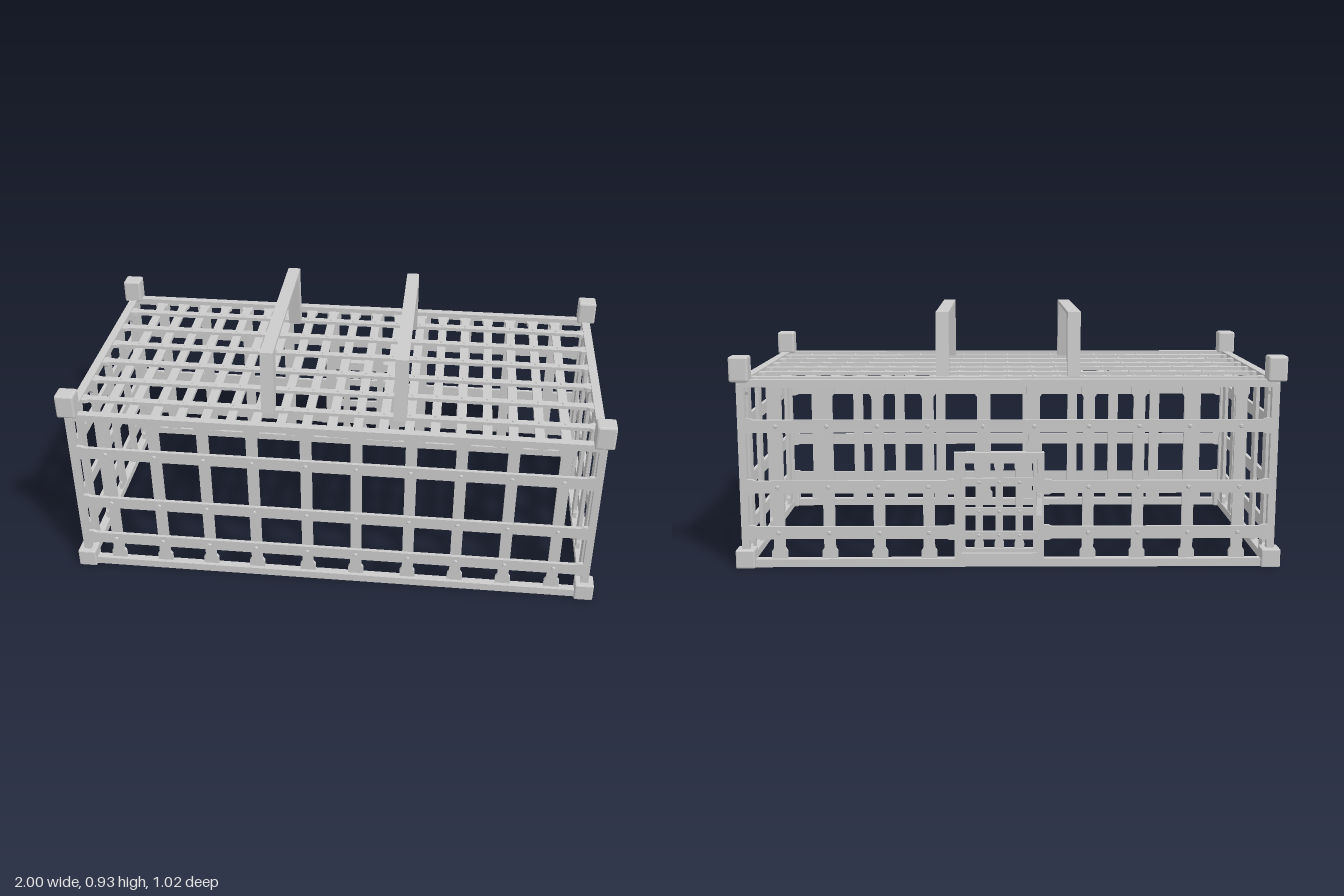
import * as THREE from 'three';
import { RoundedBoxGeometry } from 'three/addons/geometries/RoundedBoxGeometry.js';

const material = new THREE.MeshStandardMaterial({ color: 0xcccccc, flatShading: true });

function add(parent, name, geometry, x = 0, y = 0, z = 0) {
  const mesh = new THREE.Mesh(geometry, material);
  mesh.name = name;
  mesh.position.set(x, y, z);
  parent.add(mesh);
  return mesh;
}

const box = (parent, name, w, h, d, x, y, z) =>
  add(parent, name, new THREE.BoxGeometry(w, h, d), x, y, z);

function extrude(points, depth, hole) {
  const shape = new THREE.Shape(points.map(([x, y]) => new THREE.Vector2(x, y)));
  if (hole) shape.holes.push(new THREE.Path(hole.map(([x, y]) => new THREE.Vector2(x, y))));
  return new THREE.ExtrudeGeometry(shape, { depth, bevelEnabled: false }).translate(0, 0, -depth / 2);
}

const rect = (x0, y0, x1, y1) => [[x0, y0], [x1, y0], [x1, y1], [x0, y1]];

// Flat bar from a to b with widened feet; runs along y, or along x when horizontal
function flatBar(parent, name, a, b, at, z, { width, flare, depth = 0.014, foot = 0.028 }, horizontal) {
  const w = width / 2, f = flare / 2, t = foot + 0.012;
  const geometry = extrude([
    [-f, a], [f, a], [f, a + foot], [w, a + t], [w, b - t], [f, b - foot],
    [f, b], [-f, b], [-f, b - foot], [-w, b - t], [-w, a + t], [-f, a + foot],
  ], depth);
  if (horizontal) geometry.rotateZ(-Math.PI / 2);
  add(parent, name, geometry, horizontal ? 0 : at, horizontal ? at : 0, z);
}

// Lattice in its own plane, outside towards +z; an optional opening cuts the bars
function lattice(name, { us, vs, halfU, v0, v1, upright, cross, bolt, opening }) {
  const panel = new THREE.Group();
  panel.name = name;
  const blocked = (u, v) => opening &&
    u > opening.u0 && u < opening.u1 && v > opening.v0 && v < opening.v1;
  for (const u of us) {
    const cut = opening && u > opening.u0 && u < opening.u1;
    flatBar(panel, 'uprightBar', cut ? opening.v1 : v0, v1, u, -0.006, upright);
  }
  for (const v of vs) {
    const cut = opening && v > opening.v0 && v < opening.v1;
    const spans = cut ? [[-halfU, opening.u0], [opening.u1, halfU]] : [[-halfU, halfU]];
    for (const [a, b] of spans) flatBar(panel, 'crossBar', a, b, v, 0.006, cross, true);
    for (const u of us) {
      if (blocked(u, v)) continue;
      const head = new THREE.CylinderGeometry(bolt * 0.6, bolt, 0.006, 6).rotateX(Math.PI / 2);
      add(panel, 'bolt', head, u, v, 0.015);
    }
  }
  return panel;
}

function createDoor() {
  const door = new THREE.Group();
  door.name = 'door';
  const x0 = -0.13, x1 = 0.198, y0 = 0.03, y1 = 0.43, mid = (x0 + x1) / 2;
  const frame = (name, inset, width, depth, z) => {
    const i = inset, j = inset + width;
    add(door, name, extrude(rect(x0 + i, y0 + i, x1 - i, y1 - i), depth,
      rect(x0 + j, y0 + j, x1 - j, y1 - j)), 0, 0, z);
  };
  frame('doorFrame', 0, 0.024, 0.034, -0.469);
  frame('doorInnerFrame', 0.024, 0.016, 0.02, -0.467);
  for (const dx of [-0.074, 0, 0.074]) {
    flatBar(door, 'doorUpright', y0 + 0.03, y1 - 0.03, mid + dx, -0.464, { width: 0.027, flare: 0.036 });
  }
  for (const y of [0.12, 0.21, 0.32]) {
    box(door, 'doorCrossBar', x1 - x0 - 0.06, 0.03, 0.012, mid, y, -0.473);
    for (const dx of [-0.074, 0, 0.074]) {
      add(door, 'doorBolt', new THREE.CylinderGeometry(0.004, 0.007, 0.006, 6).rotateX(-Math.PI / 2),
        mid + dx, y, -0.481);
    }
  }
  // Latch: plate, pivot and hanging handle
  box(door, 'latchPlate', 0.022, 0.08, 0.008, -0.112, 0.245, -0.484);
  add(door, 'latchPivot', new THREE.CylinderGeometry(0.008, 0.008, 0.016, 8).rotateX(Math.PI / 2),
    -0.112, 0.272, -0.488);
  const handle = box(door, 'latchHandle', 0.02, 0.08, 0.011, -0.112, 0.24, -0.494);
  handle.rotation.x = 0.2;
  return door;
}

export function createModel() {
  const model = new THREE.Group();
  model.name = 'cage';
  const cage = new THREE.Group();
  cage.name = 'cageBody';
  cage.position.z = 0.006;
  model.add(cage);
  const X = 0.965, Z = 0.47;

  // Corner blocks, posts and rails
  for (const sx of [-1, 1]) {
    for (const sz of [-1, 1]) {
      box(cage, 'cornerPost', 0.028, 0.66, 0.025, sx * X, 0.35, sz * Z);
      add(cage, 'cornerFoot', new RoundedBoxGeometry(0.07, 0.07, 0.066, 1, 0.005),
        sx * X, 0.035, sz * 0.469);
      add(cage, 'cornerCap', new RoundedBoxGeometry(0.07, 0.092, 0.066, 1, 0.007),
        sx * X, 0.736, sz * 0.469);
    }
    for (const [y, h] of [[0.016, 0.03], [0.683, 0.027]]) {
      box(cage, 'longRail', 2 * X, h, 0.03, 0, y, sx * Z);
      box(cage, 'shortRail', 0.032, h, 2 * Z, sx * X, y, 0);
    }
  }

  // Wall lattices
  const vs = [0.13, 0.302, 0.527];
  const longUs = [0.093, 0.292, 0.474, 0.658, 0.843].flatMap((u) => [-u, u]);
  const cross = { width: 0.046, flare: 0.056, foot: 0.018 };
  const longWall = {
    us: longUs, vs, halfU: 0.952, v0: 0.03, v1: 0.672, bolt: 0.009, cross,
    upright: { width: 0.042, flare: 0.058 },
  };
  const front = lattice('frontLattice', longWall);
  front.position.z = Z;
  const back = lattice('backLattice',
    { ...longWall, opening: { u0: -0.198, u1: 0.13, v0: 0.03, v1: 0.43 } });
  back.position.z = -Z;
  back.rotation.y = Math.PI;
  cage.add(front, back);
  for (const s of [-1, 1]) {
    const side = lattice(s > 0 ? 'leftLattice' : 'rightLattice', {
      us: [-0.384, -0.2, 0, 0.2, 0.384], vs, halfU: 0.46, v0: 0.03, v1: 0.672, bolt: 0.01, cross,
      upright: { width: 0.054, flare: 0.064 },
    });
    side.position.x = s * X;
    side.rotation.y = s * Math.PI / 2;
    cage.add(side);
  }

  // Roof lattice
  const roof = lattice('roofLattice', {
    us: Array.from({ length: 19 }, (_, i) => (i - 9) * 0.0932),
    vs: [-0.353, -0.212, -0.071, 0.071, 0.212, 0.353],
    halfU: 0.952, v0: -0.458, v1: 0.458, bolt: 0.007,
    upright: { width: 0.034, flare: 0.046, foot: 0.018 },
    cross: { width: 0.03, flare: 0.042, foot: 0.018 },
  });
  roof.position.y = 0.679;
  roof.rotation.x = -Math.PI / 2;
  cage.add(roof);

  // Carrying handles: tapered legs joined by a thin top strap
  const outline = [
    [-0.373, 0.685], [-0.329, 0.685], [-0.288, 0.916], [0.288, 0.916],
    [0.329, 0.685], [0.373, 0.685], [0.354, 0.929], [-0.354, 0.929],
  ];
  for (const s of [-1, 1]) {
    const handle = add(model, 'carryHandle', extrude(outline, 0.048), s * 0.243, 0, 0.016);
    handle.rotation.y = Math.PI / 2;
  }

  model.add(createDoor());
  return model;
}
